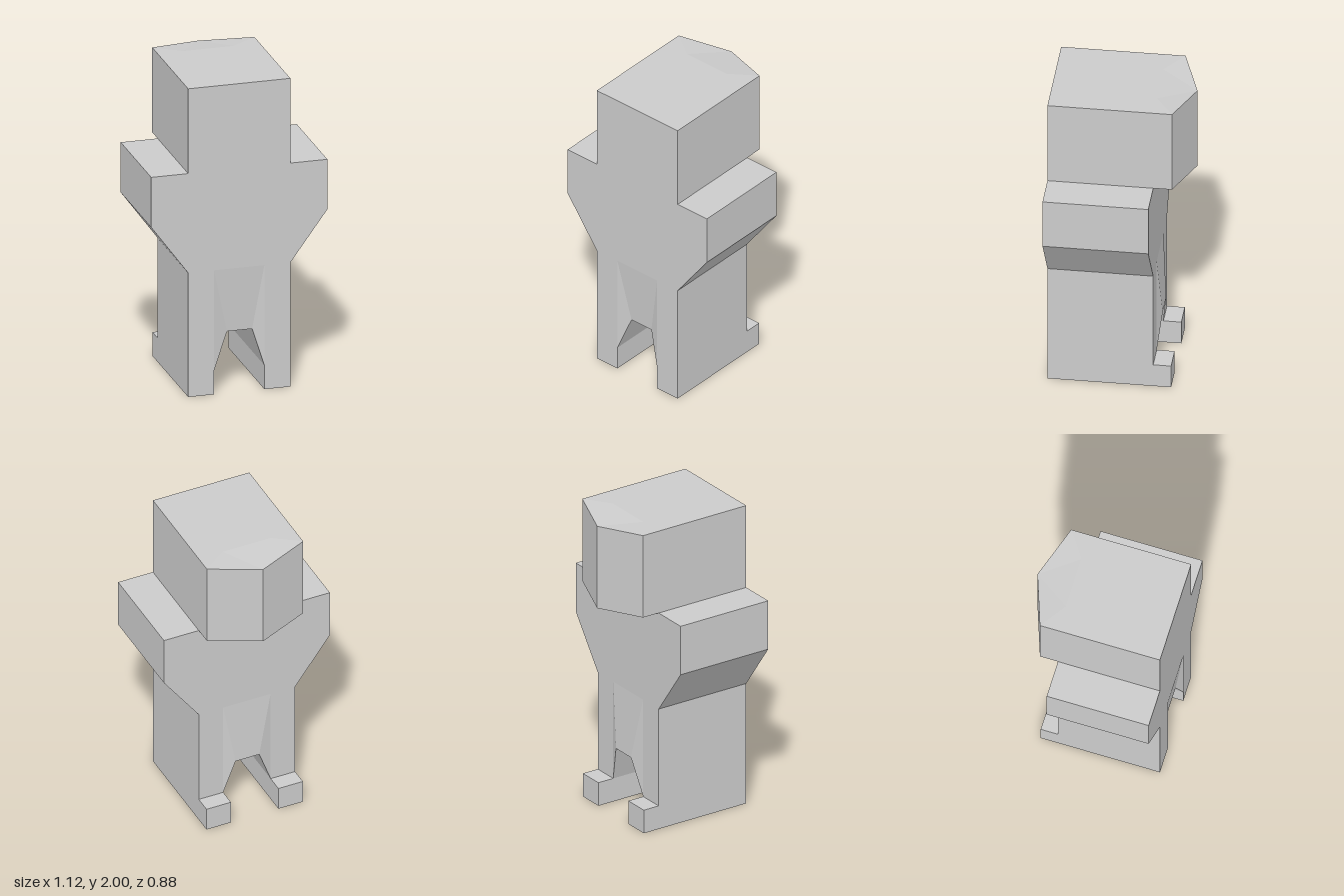
import * as THREE from 'three';

const FRONT = 0.44, BACK = -0.21;
const material = new THREE.MeshStandardMaterial({ color: 0xcccccc, flatShading: true });

function addMesh(parent, name, geometry) {
  const mesh = new THREE.Mesh(geometry, material);
  mesh.name = name;
  parent.add(mesh);
  return mesh;
}

// Solid between two matching point layers: faceted caps plus walls along the rim
function layeredSolid(near, far, caps, rim) {
  const positions = [];
  const tri = (...points) => points.forEach((p) => positions.push(...p));
  for (const [i, j, k] of caps) {
    tri(near[i], near[j], near[k]);
    tri(far[i], far[k], far[j]);
  }
  for (const [i, j] of rim) {
    tri(near[i], far[i], far[j]);
    tri(near[i], far[j], near[j]);
  }
  const geometry = new THREE.BufferGeometry();
  geometry.setAttribute('position', new THREE.Float32BufferAttribute(positions, 3));
  geometry.computeVertexNormals();
  return geometry;
}

// Box given by its minimum and maximum corners
function boxBetween(x0, x1, y0, y1, z0, z1) {
  return new THREE.BoxGeometry(x1 - x0, y1 - y0, z1 - z0)
    .translate((x0 + x1) / 2, (y0 + y1) / 2, (z0 + z1) / 2);
}

export function createModel() {
  const model = new THREE.Group();
  model.name = 'blockyFigure';

  // Torso with square shoulders tapering to the hips
  const outline = [[-0.325, 0.805], [0.325, 0.805], [0.56, 1.125], [0.56, 1.45], [-0.56, 1.45], [-0.56, 1.125]];
  const torsoShape = new THREE.Shape(outline.map(([x, y]) => new THREE.Vector2(x, y)));
  addMesh(model, 'torso', new THREE.ExtrudeGeometry(torsoShape, { depth: FRONT - BACK, bevelEnabled: false })
    .translate(0, 0, BACK));

  // Head with a pointed back whose ridge sags slightly
  const headPlan = [
    [-0.325, FRONT], [0.325, FRONT], [0.325, -0.325], [0, -0.44], [-0.325, -0.325],
    [0.16, BACK], [-0.16, BACK],
  ];
  const headLayer = (y) => headPlan.map(([x, z], i) => [x, i === 3 ? y - 0.03 : y, z]);
  addMesh(model, 'head', layeredSolid(
    headLayer(2), headLayer(1.45),
    [[0, 1, 5], [0, 5, 6], [1, 2, 5], [0, 6, 4], [5, 2, 3], [6, 5, 3], [4, 6, 3]],
    [[0, 1], [1, 2], [2, 3], [3, 4], [4, 0]],
  ));

  // Crotch panel: the arch corners are pushed backwards, denting the front and bulging the back
  const panel = [[-0.16, 0.805], [0, 0.805], [0.16, 0.805], [0.16, 0.155], [0.09, 0.39], [-0.07, 0.39], [-0.16, 0.155]];
  const panelLayer = (z) => panel.map(([x, y], i) => [x, y, i === 4 || i === 5 ? z - 0.028 : z]);
  addMesh(model, 'crotch', layeredSolid(
    panelLayer(FRONT), panelLayer(BACK),
    [[0, 6, 5], [0, 5, 1], [1, 5, 4], [1, 4, 2], [4, 3, 2]],
    [[6, 5], [5, 4], [4, 3]],
  ));

  // Legs, each with a small heel block behind
  for (const [side, x0, x1] of [['right', -0.325, -0.16], ['left', 0.16, 0.325]]) {
    addMesh(model, side + 'Leg', boxBetween(x0, x1, 0, 0.805, BACK, FRONT));
    addMesh(model, side + 'Heel', boxBetween(x0, x1, 0, 0.155, -0.32, BACK));
  }

  return model;
}
